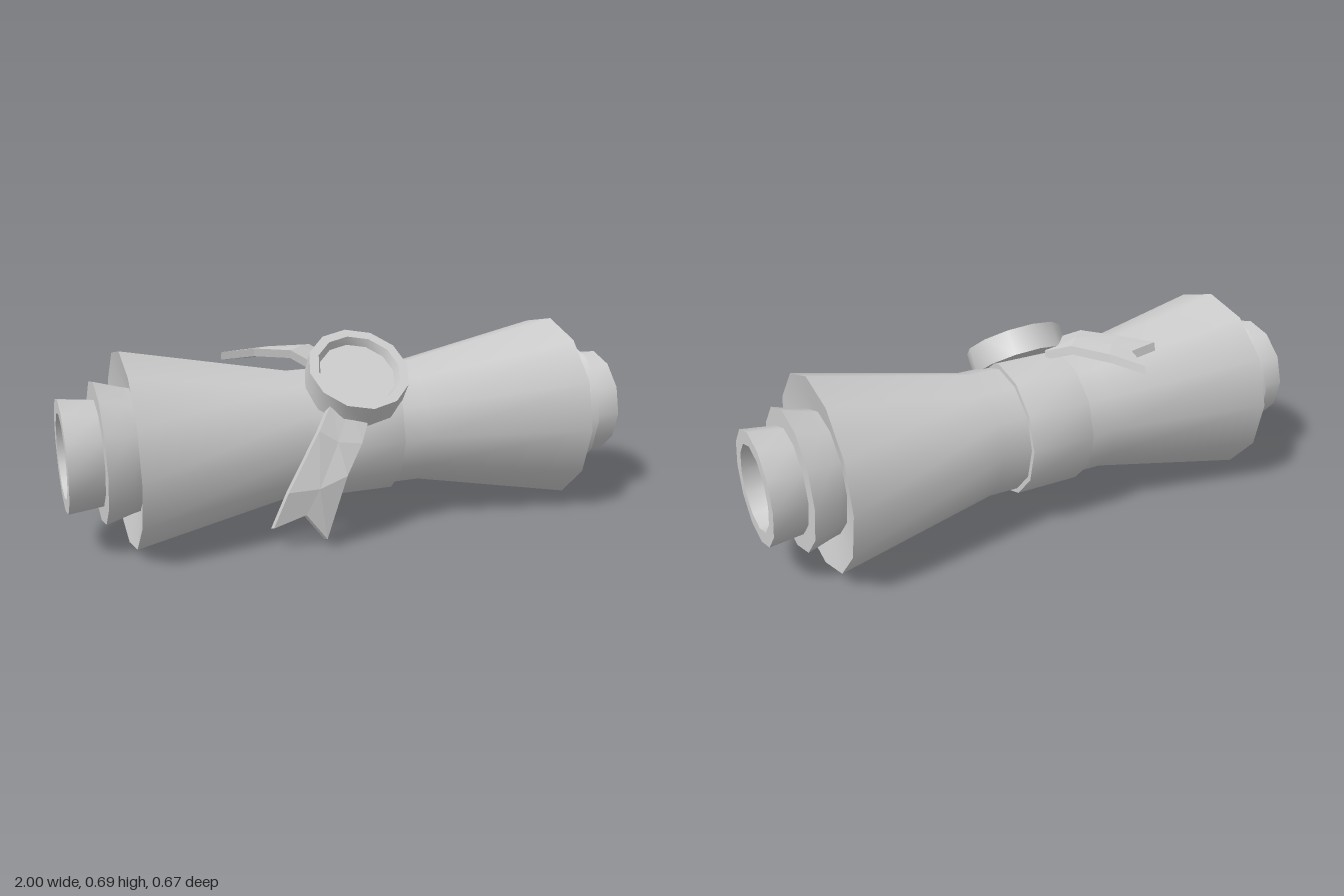
import * as THREE from 'three';
import { toCreasedNormals } from 'three/addons/utils/BufferGeometryUtils.js';

const material = new THREE.MeshStandardMaterial({ color: 0xcccccc });
const CENTRE_Y = 0.336;

// Twelve-sided turned solid; profile points are [radius, height].
function turned(profile) {
  const points = profile.map(([r, h]) => new THREE.Vector2(r, h));
  return toCreasedNormals(new THREE.LatheGeometry(points, 12), 0.7);
}

function addMesh(group, name, geometry) {
  const mesh = new THREE.Mesh(geometry, material);
  mesh.name = name;
  group.add(mesh);
  return mesh;
}

// Turned solid laid along x on the scroll's axis.
function addAlongX(group, name, profile) {
  const mesh = addMesh(group, name, turned(profile).rotateZ(-Math.PI / 2).rotateX(0.03));
  mesh.position.y = CENTRE_Y;
}

// Thick ribbon from rows of three points; the last row forms the swallowtail.
function ribbon(rows, thickness) {
  const top = rows.map((row) => row.map((p) => new THREE.Vector3(...p)));
  const down = new THREE.Vector3(...thickness);
  const low = top.map((row) => row.map((p) => p.clone().add(down)));
  const verts = [];
  const quad = (a, b, c, d) => [a, b, c, a, c, d].forEach((p) => verts.push(p.x, p.y, p.z));
  const last = top.length - 1;
  for (let i = 0; i < last; i++) {
    for (let j = 0; j < 2; j++) {
      quad(top[i][j], top[i + 1][j], top[i + 1][j + 1], top[i][j + 1]);
      quad(low[i][j], low[i][j + 1], low[i + 1][j + 1], low[i + 1][j]);
    }
    quad(top[i][0], low[i][0], low[i + 1][0], top[i + 1][0]);
    quad(top[i][2], top[i + 1][2], low[i + 1][2], low[i][2]);
  }
  for (let j = 0; j < 2; j++) {
    quad(top[0][j], top[0][j + 1], low[0][j + 1], low[0][j]);
    quad(top[last][j], low[last][j], low[last][j + 1], top[last][j + 1]);
  }
  const geometry = new THREE.BufferGeometry();
  geometry.setAttribute('position', new THREE.Float32BufferAttribute(verts, 3));
  geometry.computeVertexNormals();
  return geometry;
}

export function createModel() {
  const group = new THREE.Group();
  group.name = 'scroll';

  // Rolled paper: half profile from waist to hollow end, mirrored to the other end
  const half = [
    [0.221, 0.225], [0.336, 0.797], [0.21, 0.77],
    [0.217, 0.8], [0.242, 0.885], [0.18, 0.885],
    [0.193, 1], [0.145, 1], [0.13, 0.86], [0.09, 0.76], [0, 0.71],
  ];
  const mirrored = half.map(([r, h]) => [r, -h]).reverse();
  addAlongX(group, 'rolledPaper', [...mirrored, ...half]);

  // Band around the waist
  addAlongX(group, 'band', [[0.21, -0.118], [0.238, -0.118], [0.238, 0.118], [0.21, 0.118]]);

  // Wax seal: tilted disc with a raised rim
  const seal = addMesh(group, 'seal', turned([
    [0, -0.09], [0.175, -0.09], [0.175, 0], [0.143, 0], [0.132, -0.03], [0, -0.03],
  ]));
  seal.position.set(-0.025, 0.585, 0.165);
  seal.rotation.x = Math.atan2(0.6, 0.8);

  // Ribbon tails emerging from under the seal
  addMesh(group, 'frontTail', ribbon([
    [[-0.14, 0.5, 0.22], [-0.08, 0.48, 0.23], [-0.01, 0.46, 0.24]],
    [[-0.2, 0.41, 0.26], [-0.14, 0.37, 0.275], [-0.06, 0.36, 0.285]],
    [[-0.31, 0.21, 0.265], [-0.21, 0.22, 0.29], [-0.12, 0.26, 0.307]],
    [[-0.355, 0.08, 0.235], [-0.25, 0.125, 0.265], [-0.18, 0.032, 0.275]],
  ], [0, -0.012, -0.034]));

  addMesh(group, 'backTail', ribbon([
    [[-0.06, 0.59, 0], [-0.1, 0.59, 0.04], [-0.15, 0.59, 0.09]],
    [[-0.12, 0.625, -0.08], [-0.17, 0.632, -0.03], [-0.22, 0.632, 0.02]],
    [[-0.22, 0.605, -0.17], [-0.26, 0.62, -0.12], [-0.32, 0.625, -0.08]],
    [[-0.3, 0.58, -0.265], [-0.31, 0.6, -0.17], [-0.42, 0.605, -0.15]],
  ], [0, -0.029, -0.008]));

  return group;
}
